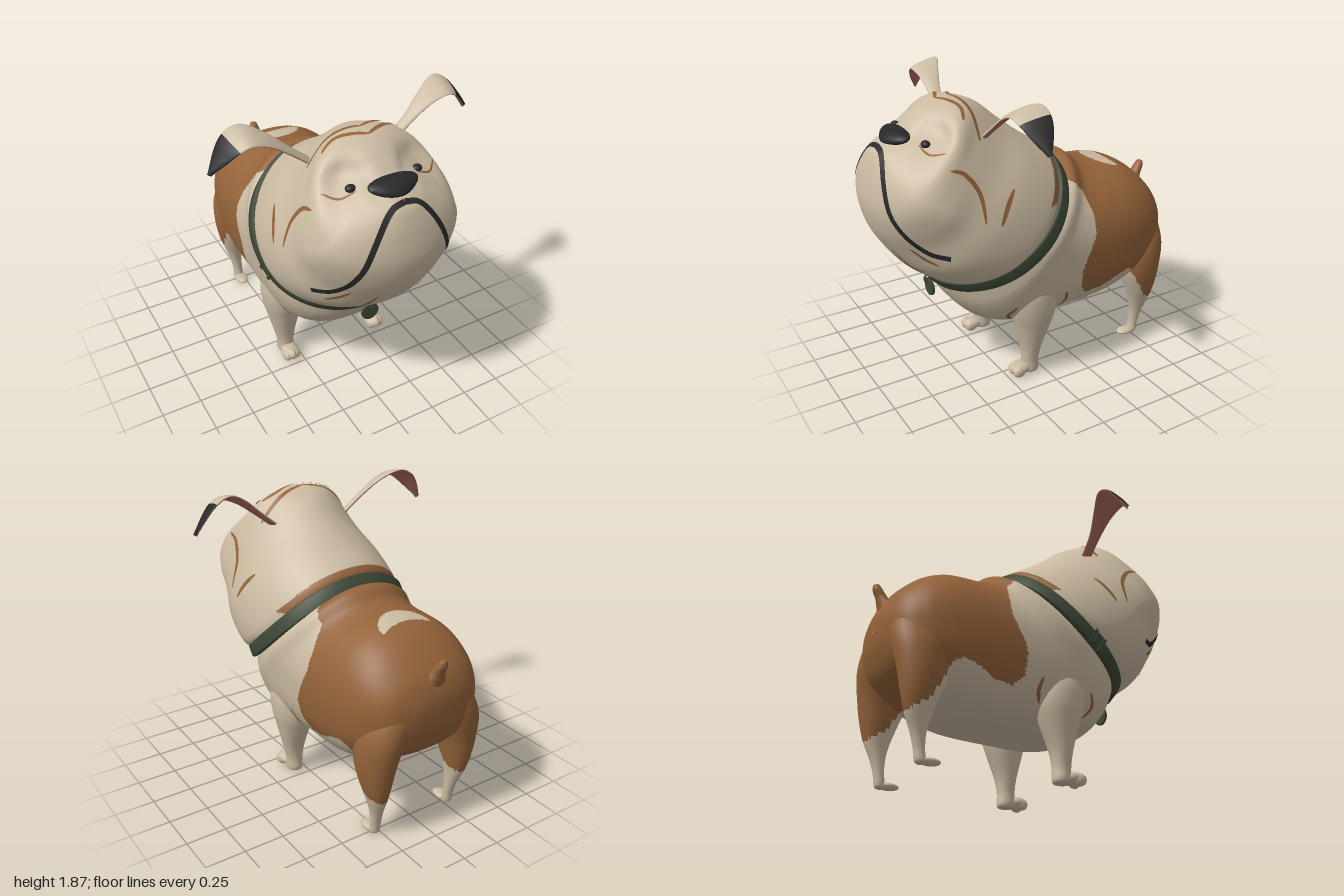
import * as THREE from 'three';

const mat = (name, color) => Object.assign(new THREE.MeshStandardMaterial({ color }), { name });
const V = (x, y, z) => new THREE.Vector3(x, y, z);
const { smoothstep } = THREE.MathUtils;

// Smoothly resample a short table of numbers into n + 1 rows
function resample(table, n) {
  const at = i => table[Math.max(0, Math.min(table.length - 1, i))];
  return Array.from({ length: n + 1 }, (_, k) => {
    const f = (k / n) * (table.length - 1), i = Math.min(Math.floor(f), table.length - 2), t = f - i;
    return at(i).map((b, j) => {
      const a = at(i - 1)[j], c = at(i + 1)[j], d = at(i + 2)[j];
      return b + 0.5 * t * (c - a + t * (2 * a - 5 * b + 4 * c - d + t * (3 * (b - c) + d - a)));
    });
  });
}

// Skin over closed rings; pick(centre, u, v) chooses the material index of each triangle
function skin(name, rings, materials, pick = () => 0) {
  const m = rings[0].length, pts = rings.flat(), buckets = materials.map(() => []);
  let volume = 0;
  const c = V(0, 0, 0), x = V(0, 0, 0);
  for (let r = 0; r < rings.length - 1; r++) for (let k = 0; k < m; k++) {
    const a = r * m + k, b = r * m + (k + 1) % m, d = a + m, e = b + m;
    for (const tri of [[a, b, d], [b, e, d]]) {
      const [p, q, s] = tri.map(i => pts[i]);
      volume += p.dot(x.crossVectors(q, s));
      c.copy(p).add(q).add(s).divideScalar(3);
      buckets[pick(c, r / (rings.length - 1), (k + 0.5) / m)].push(tri);
    }
  }
  const geo = new THREE.BufferGeometry().setFromPoints(pts), index = [];
  buckets.forEach((tris, i) => {
    geo.addGroup(index.length, tris.length * 3, i);
    for (const [a, b, d] of tris) index.push(...(volume > 0 ? [a, b, d] : [a, d, b]));
  });
  geo.setIndex(index);
  geo.computeVertexNormals();
  if (materials.length === 1) geo.clearGroups();
  const mesh = new THREE.Mesh(geo, materials.length === 1 ? materials[0] : materials);
  mesh.name = name;
  return mesh;
}

// Body ribs: top z, top y, bottom z, bottom y, half width, height of widest point, upper roundness
const rumpToNeck = [
  [-0.985, 0.83, -0.985, 0.82, 0.001, 0.5, 2], [-0.975, 0.93, -0.968, 0.7, 0.17, 0.5, 2],
  [-0.93, 1.035, -0.9, 0.56, 0.31, 0.5, 2.2], [-0.86, 1.115, -0.76, 0.46, 0.39, 0.5, 2.3],
  [-0.77, 1.19, -0.6, 0.385, 0.43, 0.5, 2.3], [-0.66, 1.24, -0.4, 0.34, 0.448, 0.5, 2.3],
  [-0.55, 1.26, -0.1, 0.33, 0.455, 0.5, 2.2], [-0.46, 1.27, 0.18, 0.335, 0.465, 0.5, 2.1],
  [-0.38, 1.295, 0.38, 0.4, 0.48, 0.5, 2], [-0.3, 1.355, 0.52, 0.54, 0.495, 0.5, 2],
  [-0.2, 1.34, 0.61, 0.7, 0.485, 0.5, 2],
];
const neckToNose = [
  [-0.15, 1.42, 0.68, 0.75, 0.525, 0.56, 2], [0, 1.52, 0.8, 0.84, 0.523, 0.58, 2],
  [0.15, 1.635, 0.9, 0.97, 0.485, 0.62, 1.85], [0.3, 1.755, 0.97, 1.1, 0.465, 0.7, 1.85],
  [0.45, 1.8, 1.0, 1.25, 0.41, 0.78, 2.3], [0.58, 1.775, 0.98, 1.4, 0.31, 0.77, 1.8],
  [0.68, 1.71, 0.94, 1.52, 0.2, 0.7, 1.8], [0.75, 1.655, 0.9, 1.57, 0.11, 0.6, 2],
  [0.83, 1.615, 0.84, 1.61, 0.001, 0.5, 2],
];

const ahead = V(0, 0.784, 0.621), neckCentre = V(0, 1.025, 0.21), sag = 0.11;
const aheadOfCollar = p => p.clone().sub(neckCentre).dot(ahead);

function ribRing([zt, yt, zb, yb, w, c, e], m) {
  const lower = 2.6 - 0.5 * smoothstep(zt, -0.45, -0.15), mid = V(0, (yt + yb) / 2, (zt + zb) / 2);
  const drop = sag * Math.exp(-((aheadOfCollar(mid) / 0.25) ** 2));
  const muzzle = 0.45 * smoothstep(mid.z, 0.35, 0.65);
  return Array.from({ length: m }, (_, k) => {
    const a = (k / m) * Math.PI * 2, p = 2 / (Math.cos(a) > 0 ? e : lower);
    const pow = v => Math.sign(v) * Math.abs(v) ** p;
    const v = pow(Math.cos(a)), t = c - v * (v > 0 ? c : 1 - c);
    const pt = V(w * pow(Math.sin(a)), yt + (yb - yt) * t, zt + (zb - zt) * t);
    // the neck sags at the sides, the muzzle curves back
    pt.addScaledVector(ahead, -drop * (pt.x / w) ** 2);
    pt.z -= muzzle * pt.x ** 2 * smoothstep(t, 0.4, 0.9);
    // eye sockets
    const s = Math.sign(pt.x), g = Math.exp(-(pt.distanceToSquared(V(0.23 * s, 1.61, 0.73))) / 0.024);
    return pt.add(V(-0.025 * s * g, 0, -0.11 * g * Math.abs(s) * smoothstep(Math.abs(pt.x), 0, 0.15)));
  });
}

// Limb from rows of y, x, z, half width, half depth
const limb = (name, rows, s, materials, pick) => skin(name, resample(rows, 40).map(([y, x, z, rx, rz]) =>
  Array.from({ length: 28 }, (_, k) => {
    const a = (k / 28) * Math.PI * 2;
    return V(s * x + rx * Math.cos(a), y, z + rz * Math.sin(a));
  })), materials, pick);

// Outline of the brown coat seen from the side (z, y)
const coat = [[-0.12, 1.6], [-0.14, 1.29], [-0.23, 1.23], [-0.28, 1.17], [-0.31, 1.05], [-0.31, 0.92], [-0.25, 0.8],
  [-0.21, 0.7], [-0.22, 0.57], [-0.28, 0.505], [-0.4, 0.52], [-0.5, 0.57], [-0.6, 0.6], [-0.65, 0.57],
  [-0.69, 0.48], [-0.77, 0.34], [-0.88, 0.27], [-1.2, 0.27], [-1.2, 1.6]];
function inCoat(z, y) {
  let inside = false;
  coat.forEach(([z1, y1], i) => {
    const [z2, y2] = coat[(i + 1) % coat.length];
    if ((y1 > y) !== (y2 > y) && z < z1 + ((z2 - z1) * (y - y1)) / (y2 - y1)) inside = !inside;
  });
  return inside;
}
function coatColour(p) {
  const { x, y, z } = p, s = aheadOfCollar(p) + sag * Math.min(1, (x / 0.5) ** 2);
  if (s > 0) return s < 0.1 && y > 1.18 && z < 0.03 ? 1 : 0;
  const crescent = y > 1 && (x / 0.17) ** 2 + ((z + 0.66) / 0.15) ** 2 < 1 && z > -0.635 - 1.2 * x * x;
  return inCoat(z, y) && !crescent ? 1 : 0;
}

export function createModel() {
  const model = new THREE.Group();
  model.name = 'bulldog';
  const cream = mat('cream', 0xcbbba2), brown = mat('brown', 0x94633a), ink = mat('black', 0x282829);
  const green = mat('collar green', 0x3d4836), pink = mat('ear pink', 0xb06d62);
  const add = (mesh, name = mesh.name) => { mesh.name = name; model.add(mesh); return mesh; };

  // Body and head
  const body = add(skin('bodyAndHead', resample([...rumpToNeck, ...neckToNose], 240).map(r => ribRing(r, 190)),
    [cream, brown], coatColour));
  const targets = [new THREE.Mesh(body.geometry.clone(), cream)];
  targets[0].geometry.clearGroups();

  // Tail
  add(limb('tail', [[0.97, 0, -0.89, 0.09, 0.07], [1.05, 0, -0.94, 0.045, 0.04], [1.1, 0, -0.97, 0.034, 0.032],
    [1.135, 0, -0.983, 0.022, 0.018], [1.14, 0, -0.984, 0.001, 0.001]], 1, [brown]));

  const ball = (name, m, p, r) => {
    const b = add(new THREE.Mesh(new THREE.SphereGeometry(1, 24, 16), m), name);
    b.position.set(...p);
    b.scale.set(...r);
    return b;
  };

  for (const s of [1, -1]) {
    const side = s > 0 ? 'left' : 'right';
    // Front leg and paw
    targets.push(add(limb(side + 'FrontLeg', [[0.8, 0.27, 0.12, 0.08, 0.08], [0.7, 0.3, 0.1, 0.125, 0.13],
      [0.58, 0.322, 0.085, 0.133, 0.16], [0.46, 0.328, 0.075, 0.125, 0.15], [0.35, 0.322, 0.075, 0.108, 0.118],
      [0.2, 0.32, 0.085, 0.075, 0.07], [0.1, 0.318, 0.088, 0.056, 0.056], [0.03, 0.318, 0.088, 0.055, 0.058],
      [0.008, 0.318, 0.088, 0.04, 0.045], [0.006, 0.318, 0.088, 0.001, 0.001]], s, [cream])));
    ball(side + 'FrontPaw', cream, [0.322 * s, 0.048, 0.165], [0.058, 0.042, 0.075]);
    for (const t of [-1, 0, 1])
      ball(side + 'FrontToe', cream, [(0.325 + t * 0.032) * s, 0.05 - 0.01 * t * t, 0.2 - 0.012 * t * t], [0.028, 0.038, 0.042]);

    // Hind leg and paw
    add(limb(side + 'HindLeg', [[0.9, 0.18, -0.82, 0.08, 0.08], [0.82, 0.215, -0.82, 0.12, 0.13],
      [0.68, 0.265, -0.8, 0.135, 0.16], [0.52, 0.295, -0.785, 0.115, 0.148], [0.38, 0.3, -0.795, 0.088, 0.112],
      [0.27, 0.295, -0.8, 0.06, 0.078], [0.17, 0.285, -0.79, 0.041, 0.046], [0.08, 0.28, -0.777, 0.034, 0.032],
      [0.02, 0.28, -0.767, 0.034, 0.033], [0.004, 0.28, -0.76, 0.025, 0.025], [0.003, 0.28, -0.76, 0.001, 0.001]],
    s, [cream, brown], coatColour));
    ball(side + 'HindPaw', cream, [0.28 * s, 0.022, -0.715], [0.042, 0.022, 0.065]);

    // Folded ear, tilted forward: x, y, z, half breadth
    const path = resample([[0.26, 1.61, 0.36, 0.03], [0.38, 1.705, 0.35, 0.035], [0.5, 1.795, 0.33, 0.06],
      [0.61, 1.84, 0.31, 0.09], [0.69, 1.81, 0.3, 0.087], [0.755, 1.74, 0.295, 0.06], [0.82, 1.65, 0.29, 0.008]], 48);
    add(skin(side + 'Ear', path.map(([x, y, z, w], i) => {
      const a = path[Math.max(0, i - 1)], b = path[Math.min(48, i + 1)];
      const n = V(a[1] - b[1], b[0] - a[0], 0).normalize();
      return Array.from({ length: 24 }, (_, k) => {
        const t = (k / 24) * Math.PI * 2, h = 0.014 * Math.sin(t) - 0.28 * w * Math.cos(t);
        return V(s * (x + n.x * h), y + n.y * h, z + w * Math.cos(t));
      });
    }), [cream, ink, pink], (p, u, v) => (v > 0.5 ? 2 : u > 0.66 ? 1 : 0)));
  }

  // Painted strokes laid onto the coat from one direction
  const ray = new THREE.Raycaster();
  const from = {
    front: ([x, y], s) => [V(x * s, y, 3), V(0, 0, -1)],
    side: ([z, y], s) => [V(3 * s, y, z), V(-s, 0, 0)],
    top: ([x, z], s) => [V(x * s, 3, z), V(0, -1, 0)],
  };
  const cast = (view, p, s) => {
    ray.set(...from[view](p, s));
    return ray.intersectObjects(targets, false)[0];
  };
  function stroke(name, view, m, width, pts, taper = 0.5) {
    for (const s of [1, -1]) {
      const hits = resample(pts, 24).map(p => cast(view, p, s)).filter(Boolean);
      const edge = [], index = [], last = hits.length - 1;
      hits.forEach((h, i) => {
        const n = h.face.normal, t = hits[Math.min(last, i + 1)].point.clone().sub(hits[Math.max(0, i - 1)].point);
        const w = (width / 2) * Math.max(0.1, Math.sin((Math.PI * i) / last)) ** taper;
        const b = V(0, 0, 0).crossVectors(n, t).setLength(w);
        const p = h.point.clone().addScaledVector(n, 0.006);
        edge.push(p.clone().add(b), p.clone().sub(b));
        if (i < last) index.push(2 * i, 2 * i + 1, 2 * i + 2, 2 * i + 1, 2 * i + 3, 2 * i + 2);
      });
      const geo = new THREE.BufferGeometry().setFromPoints(edge);
      geo.setIndex(index);
      geo.computeVertexNormals();
      add(new THREE.Mesh(geo, m), name);
    }
  }
  stroke('mouth', 'front', ink, 0.034, [[0, 1.575], [0.08, 1.555], [0.15, 1.48], [0.22, 1.36], [0.28, 1.21],
    [0.32, 1.1], [0.36, 1.03], [0.43, 1.005]], 0);
  stroke('browWrinkle', 'top', brown, 0.028, [[0, 0.45], [0.08, 0.425], [0.2, 0.41], [0.31, 0.42]], 0.3);
  stroke('lowerBrowWrinkle', 'top', brown, 0.026, [[0, 0.53], [0.09, 0.49], [0.18, 0.465], [0.26, 0.49]], 0.3);
  stroke('cheekWrinkle', 'side', brown, 0.028, [[0.65, 1.51], [0.57, 1.475], [0.5, 1.36], [0.49, 1.2]]);
  stroke('eyeWrinkle', 'top', brown, 0.014, [[0.19, 0.73], [0.28, 0.71], [0.35, 0.64]]);
  stroke('neckWrinkle', 'side', brown, 0.03, [[0.28, 1.34], [0.34, 1.27], [0.4, 1.17]]);
  stroke('jowlWrinkle', 'front', brown, 0.022, [[0.28, 1.05], [0.32, 0.99], [0.37, 0.95]]);
  stroke('chinWrinkle', 'front', brown, 0.022, [[0.14, 1.0], [0.155, 0.93], [0.19, 0.88], [0.25, 0.87]]);
  stroke('shoulderWrinkle', 'side', brown, 0.025, [[0.24, 0.56], [0.275, 0.49], [0.23, 0.43]]);
  stroke('elbowWrinkle', 'side', brown, 0.025, [[-0.1, 0.58], [-0.115, 0.51], [-0.09, 0.45]]);

  // Eyes, half sunk in the sockets
  for (const s of [1, -1]) ball('eye', ink, cast('front', [0.208, 1.61], s).point.toArray(), [0.03, 0.022, 0.026]);

  // Nose, narrowing towards the lip
  const nose = ball('nose', ink, [0, 1.622, 0.8], [0.145, 0.036, 0.075]);
  const np = nose.geometry.attributes.position;
  for (let i = 0; i < np.count; i++) np.setX(i, np.getX(i) * (1 - 0.35 * np.getZ(i)));
  nose.geometry.computeVertexNormals();
  nose.rotation.x = 0.35;

  // Collar: a flat band swept around the neck
  const neck = ribRing([-0.2, 1.35, 0.62, 0.705, 0.497, 0.5, 2.05], 96);
  const band = [[-0.045, -0.03], [-0.045, 0.012], [-0.035, 0.02], [0.035, 0.02], [0.045, 0.012], [0.045, -0.03], [-0.045, -0.03]];
  add(skin('collar', band.map(([along, out]) => neck.map(p => {
    const dir = p.clone().sub(neckCentre).projectOnPlane(ahead).normalize();
    return p.clone().addScaledVector(dir, out).addScaledVector(ahead, along);
  })), [green]));

  // Buckle on the right side
  const buckle = new THREE.Group();
  buckle.name = 'buckle';
  for (const [dz, h, d] of [[-0.04, 0.12, 0.022], [0, 0.08, 0.05], [0.04, 0.12, 0.022]]) {
    const bar = new THREE.Mesh(new THREE.BoxGeometry(0.03, h, d), green);
    bar.position.z = dz;
    buckle.add(bar);
  }
  buckle.position.set(-0.495, 0.875, 0.25);
  buckle.rotation.set(0.55, 0.15, 0);
  add(buckle);

  // Tag and ring
  const tag = add(new THREE.Mesh(new THREE.CylinderGeometry(0.057, 0.057, 0.016, 32), green), 'tag');
  tag.rotation.x = Math.PI / 2;
  tag.position.set(0, 0.615, 0.62);
  const ring = add(new THREE.Mesh(new THREE.TorusGeometry(0.024, 0.006, 8, 24), green), 'tagRing');
  ring.rotation.y = Math.PI / 2;
  ring.position.set(0, 0.675, 0.63);

  return model;
}
